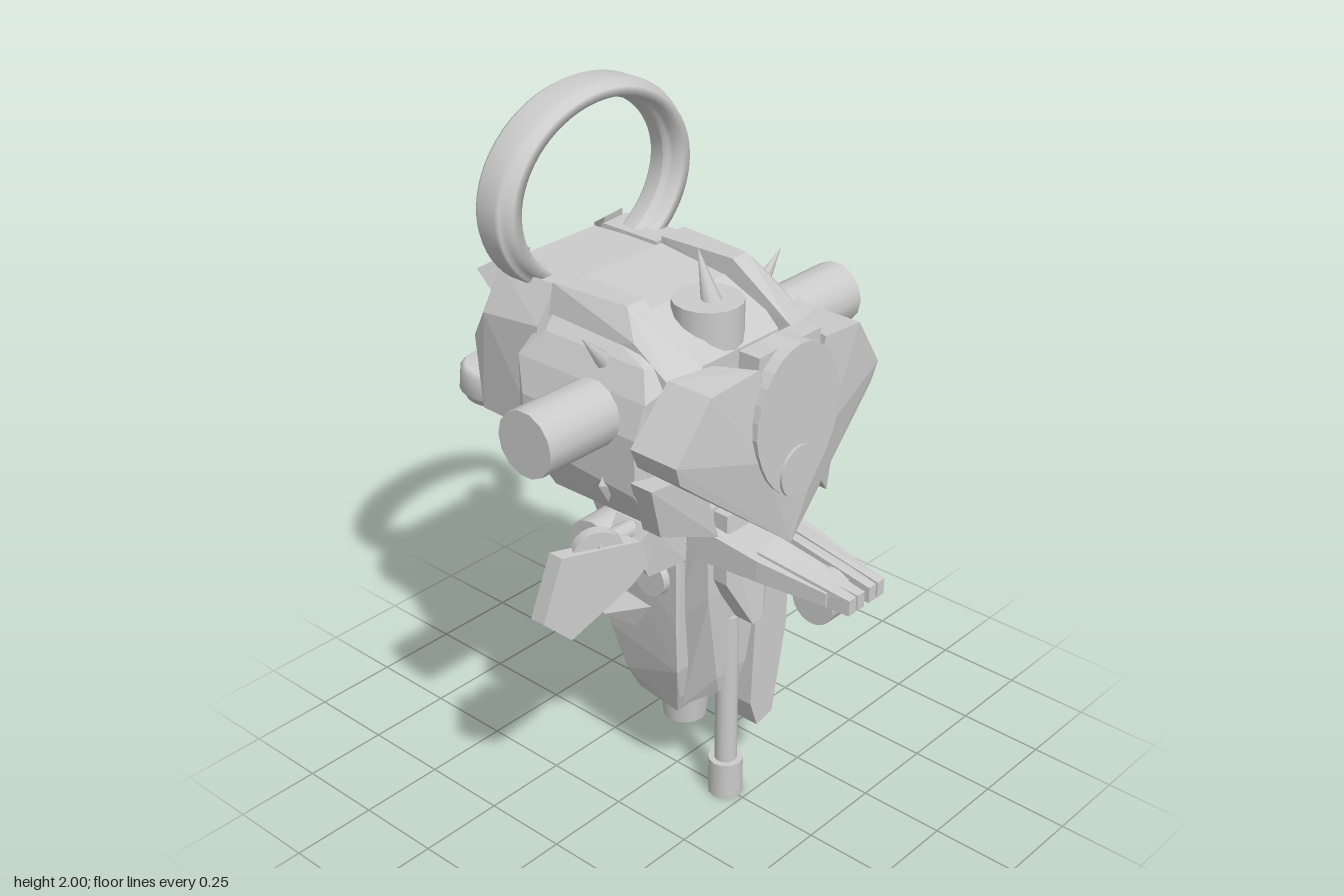
import * as THREE from 'three';
import { ConvexGeometry } from 'three/addons/geometries/ConvexGeometry.js';

const V = (p) => new THREE.Vector3(...p);

export function createModel() {
  const root = new THREE.Group();
  const mat = new THREE.MeshStandardMaterial({ color: 0xcccccc });

  const add = (name, geo) => {
    const m = new THREE.Mesh(geo, mat);
    m.name = name;
    root.add(m);
    return m;
  };
  // Faceted solid around a few corner points
  const hull = (name, pts) => add(name, new ConvexGeometry(pts.map(V)));
  // Faceted solid that is its own mirror image
  const symHull = (name, pts) => hull(name, [...pts, ...pts.map(([x, y, z]) => [-x, y, z])]);
  const box = (name, [x0, x1], [y0, y1], [z0, z1]) => {
    const m = add(name, new THREE.BoxGeometry(x1 - x0, y1 - y0, z1 - z0));
    m.position.set((x0 + x1) / 2, (y0 + y1) / 2, (z0 + z1) / 2);
  };
  // Cylinder or cone between two points
  const rod = (name, a, b, r0, r1 = r0, sides = 16) => {
    const d = V(b).sub(V(a));
    const m = add(name, new THREE.CylinderGeometry(r1, r0, d.length(), sides));
    m.position.copy(V(a)).addScaledVector(d, 0.5);
    m.quaternion.setFromUnitVectors(new THREE.Vector3(0, 1, 0), d.normalize());
  };
  // Turned part from a profile of [radius, height], listed downwards on the outside
  const turned = (name, profile, sides) => add(name, new THREE.LatheGeometry(
    profile.map(([r, y]) => new THREE.Vector2(r, y)).reverse(), sides));
  // Flat outline in x, y with a front and back depth that slants along x
  const plate = (name, outline, zAt, thick) => hull(name, outline.flatMap(([x, y]) =>
    [[x, y, zAt(x)], [x, y, zAt(x) - thick]]));
  // Both sides: s is +1 on the left, -1 on the right
  const pair = (fn) => [1, -1].forEach(fn);
  const mir = (s, pts) => pts.map(([x, ...rest]) => [s * x, ...rest]);

  // Oval halo ring with a stepped lip at the front
  const halo = turned('haloRing', [
    [0.282, 0.06], [0.288, 0.075], [0.3, 0.08], [0.3, 0.115], [0.33, 0.115], [0.333, 0.085],
    [0.351, 0.083], [0.356, 0.073], [0.356, 0.012], [0.348, 0], [0.3, 0], [0.284, 0.015], [0.282, 0.06],
  ], 64);
  halo.geometry.rotateX(Math.PI / 2).scale(1, 0.787, 1);
  halo.position.set(0, 1.72, -0.365);

  // Main torso
  symHull('torso', [
    [0.2, 1.5, 0.02], [0.2, 1.53, -0.2], [0.16, 1.4, 0.2],
    [0.3, 1.44, 0.16], [0.3, 1.44, -0.18], [0.34, 1.37, 0.2], [0.34, 1.37, -0.24],
    [0.37, 1.28, 0.19], [0.37, 1.28, -0.2], [0.37, 1.12, 0.19], [0.37, 1.15, -0.2],
    [0.34, 1.13, -0.24], [0.33, 1.03, 0.2], [0.31, 1.01, -0.15], [0.15, 0.95, 0.18], [0.15, 0.95, -0.1],
  ]);
  pair((s) => {
    hull('shoulderRail', mir(s, [
      [0.17, 1.55, 0.04], [0.23, 1.55, 0.04], [0.16, 1.55, -0.2], [0.25, 1.55, -0.2],
      [0.17, 1.5, 0.1], [0.27, 1.48, 0.1], [0.17, 1.42, 0.24], [0.27, 1.4, 0.22],
      [0.17, 1.25, 0.25], [0.28, 1.25, 0.23], [0.17, 1.3, -0.2], [0.28, 1.4, -0.2],
    ]));
    rod('sideDrum', [s * 0.365, 1.315, 0.05], [s * 0.605, 1.315, 0.05], 0.09, 0.09, 14);
    rod('shoulderSpike', [s * 0.29, 1.41, 0.025], [s * 0.38, 1.51, 0.03], 0.026, 0.001, 8);
    hull('sideSkirt', mir(s, [
      [0.385, 1.17, 0.19], [0.385, 1.17, 0.26], [0.2, 1.15, 0.26], [0.2, 1.15, 0.17],
      [0.33, 1.01, 0.24], [0.33, 1.01, 0.18], [0.13, 0.93, 0.26], [0.13, 0.93, 0.18],
    ]));
    // Slim lens-shaped stud
    hull('sideStud', mir(s, [
      [0.35, 1.17, 0.08], [0.35, 1.06, 0.08], [0.35, 1.11, 0.1], [0.35, 1.11, 0.06], [0.385, 1.12, 0.08],
    ]));
  });

  // Top hatch with spike
  rod('topHatch', [0, 1.4, 0.105], [0, 1.515, 0.105], 0.095, 0.095, 16);
  rod('topSpike', [0, 1.5, 0.12], [0, 1.64, 0.07], 0.03, 0.001, 8);

  // Front shield: two wings meeting in a point, with an egg-shaped visor
  pair((s) => hull('shieldWing', mir(s, [
    [0.13, 1.45, 0.385], [0.29, 1.43, 0.37], [0.4, 1.275, 0.355], [0.38, 1.22, 0.35],
    [0, 0.91, 0.395], [0, 1.08, 0.4], [0.13, 1.2, 0.405],
    [0.17, 1.44, 0.27], [0.29, 1.43, 0.23], [0.405, 1.28, 0.21], [0.38, 1.22, 0.21], [0.02, 0.95, 0.27],
  ])));
  const egg = Array.from({ length: 28 }, (_, i) => {
    const a = i / 28 * Math.PI * 2, y = Math.sin(a);
    return [Math.cos(a) * (0.165 + 0.025 * Math.min(y, 0)), 1.275 + y * 0.21];
  });
  plate('visor', egg, () => 0.41, 0.09);
  rod('visorLens', [0, 1.13, 0.38], [0, 1.13, 0.418], 0.072, 0.072, 24);
  box('visorCrest', [-0.12, 0.12], [1.41, 1.475], [0.31, 0.375]);

  // Backpack
  symHull('backpackCore', [
    [0.15, 1.53, -0.2], [0.13, 1.53, -0.42], [0.13, 1.47, -0.455], [0.13, 1.24, -0.455],
    [0.13, 1.18, -0.4], [0.17, 1.18, -0.2],
  ]);
  box('backPanel', [-0.09, 0.09], [1.25, 1.43], [-0.47, -0.44]);
  pair((s) => {
    hull('backpackPod', mir(s, [
      [0.14, 1.54, -0.2], [0.24, 1.54, -0.2], [0.14, 1.54, -0.4], [0.24, 1.54, -0.4],
      [0.3, 1.44, -0.21], [0.3, 1.42, -0.41], [0.13, 1.33, -0.47], [0.28, 1.33, -0.47],
      [0.13, 1.12, -0.45], [0.28, 1.12, -0.45], [0.3, 1.13, -0.22], [0.16, 1.12, -0.22],
    ]));
    hull('backpackHorn', mir(s, [
      [0.14, 1.56, -0.39], [0.22, 1.56, -0.4], [0.18, 1.51, -0.47], [0.27, 1.52, -0.46],
      [0.15, 1.45, -0.42], [0.25, 1.45, -0.42],
    ]));
    // Rear thruster with a hollow mouth
    const thruster = turned('rearThruster', [
      [0, 0.05], [0.075, 0.05], [0.088, 0.035], [0.088, -0.025], [0.07, -0.03], [0.07, -0.05],
      [0.05, -0.05], [0.045, -0.02], [0, -0.02],
    ], 20);
    thruster.position.set(s * 0.195, 1.158, -0.505);
    thruster.rotation.x = 0.12;
    // Tail blades
    hull('tailBlade', mir(s, [
      [0.02, 0.97, -0.18], [0.07, 0.96, -0.18], [0.03, 0.93, -0.2], [0.06, 1.08, -0.42],
      [0.14, 1.08, -0.42], [0.06, 1.04, -0.42], [0.13, 1.04, -0.42],
      [0.08, 1.17, -0.6], [0.14, 1.17, -0.6], [0.08, 1.13, -0.645], [0.14, 1.13, -0.645],
    ]));
    hull('tailFin', mir(s, [
      [0.05, 0.99, -0.16], [0.12, 0.96, -0.17], [0.13, 1.08, -0.44], [0.22, 1.1, -0.42],
      [0.14, 1.05, -0.42], [0.23, 1.07, -0.4],
    ]));
  });
  symHull('tailRoot', [
    [0.12, 1.02, -0.12], [0.1, 0.92, -0.12], [0.09, 1.04, -0.28], [0.03, 0.78, -0.2],
    [0.07, 0.93, -0.21], [0.04, 0.78, -0.14],
  ]);

  // Waist and hips
  symHull('waist', [
    [0.2, 1.03, 0.14], [0.2, 1.03, -0.14], [0.15, 0.82, 0.16], [0.15, 0.82, -0.14],
    [0.18, 0.94, 0.2], [0.18, 0.94, -0.16],
  ]);
  pair((s) => {
    rod('hipDrum', [s * 0.14, 0.885, 0.01], [s * 0.34, 0.88, 0.01], 0.088);
    hull('hipGuard', mir(s, [
      [0.18, 1.0, 0.2], [0.3, 1.0, 0.18], [0.34, 0.94, 0.16], [0.3, 0.85, 0.17], [0.19, 0.86, 0.2],
      [0.18, 1.0, 0.08], [0.3, 1.0, 0.06], [0.34, 0.94, 0.06], [0.2, 0.87, 0.08],
    ]));
    rod('bladeArm', [s * 0.24, 0.97, 0.11], [s * 0.45, 0.985, 0.12], 0.025, 0.025, 10);
    rod('bladeHinge', [s * 0.43, 0.965, 0.11], [s * 0.447, 0.965, 0.138], 0.07, 0.07, 20);
    // Kite-shaped hanging blade, swept back at its outer end
    plate('hangingBlade', mir(s, [[0.587, 0.8], [0.523, 0.738], [0.38, 0.87], [0.34, 0.925], [0.36, 0.995], [0.54, 0.985]]),
      (x) => 0.21 - (Math.abs(x) - 0.34) * 0.55, 0.045);
  });

  // Forward claw
  symHull('clawBase', [
    [0.13, 0.93, 0.18], [0.13, 0.83, 0.18], [0.12, 0.9, 0.38], [0.12, 0.84, 0.38],
    [0.085, 0.87, 0.58], [0.085, 0.83, 0.58],
  ]);
  pair((s) => [0.01, 0.045].forEach((x) => hull('clawFinger', mir(s, [
    [x, 0.92, 0.36], [x + 0.05, 0.91, 0.36], [x, 0.83, 0.4], [x + 0.05, 0.83, 0.4],
    [x, 0.87, 0.645], [x + 0.028, 0.87, 0.645], [x, 0.825, 0.645], [x + 0.028, 0.825, 0.645],
  ]))));
  rod('clawRoller', [-0.075, 0.82, 0.53], [0.075, 0.82, 0.53], 0.065, 0.065, 24);

  // Lower body
  symHull('lowerBody', [
    [0.13, 0.95, 0.14], [0.12, 0.95, -0.09], [0.15, 0.8, 0.13], [0.13, 0.82, -0.12],
    [0.15, 0.6, 0.13], [0.1, 0.64, -0.2], [0.09, 0.58, -0.2], [0.145, 0.45, 0.13], [0.11, 0.47, -0.15],
    [0.11, 0.34, 0.11], [0.1, 0.34, -0.1], [0.1, 0.28, 0.09], [0.08, 0.28, -0.07],
  ]);
  symHull('chestPlate', [
    [0.12, 0.98, 0.21], [0.12, 0.98, 0.1], [0.11, 0.7, 0.21], [0.12, 0.6, 0.1],
    [0.06, 0.42, 0.2], [0.09, 0.3, 0.1], [0.04, 0.36, 0.19],
  ]);
  plate('frontWedge', [[-0.09, 0.97], [0.09, 0.97], [0.09, 0.76], [0.02, 0.62], [-0.02, 0.62], [-0.09, 0.76]],
    (x) => 0.3 - Math.abs(x) * 0.5, 0.06);
  pair((s) => {
    rod('sideKnuckle', [s * 0.1, 0.735, 0.05], [s * 0.17, 0.735, 0.05], 0.06, 0.055, 20);
    hull('sideSpike', mir(s, [
      [0.3, 0.79, -0.12], [0.25, 0.62, -0.04], [0.15, 0.54, -0.02], [0.14, 0.62, 0.03], [0.13, 0.63, -0.1],
    ]));
  });

  // Long single flap on the left side
  plate('longFlap', [[0.1, 0.9], [0.19, 0.88], [0.225, 0.74], [0.22, 0.48], [0.165, 0.2], [0.1, 0.185], [0.07, 0.27], [0.1, 0.48]],
    () => 0.215, 0.12);

  // Rear nozzle, pointing back and down
  const nozzle = turned('rearNozzle', [
    [0, 0.02], [0.045, 0.02], [0.05, 0.05], [0.066, 0.05], [0.07, 0.03], [0.07, -0.01],
    [0.088, -0.03], [0.092, -0.07], [0.092, -0.15], [0, -0.15],
  ], 20);
  nozzle.position.set(0, 0.56, -0.212);
  nozzle.rotation.x = -Math.PI * 0.73;

  // Foot and support pole
  rod('foot', [0, 0.2, 0.03], [0, 0.3, 0.03], 0.062, 0.072);
  rod('pole', [0, 0.08, 0.185], [0, 0.6, 0.185], 0.032);
  rod('poleKnob', [0, 0, 0.185], [0, 0.115, 0.185], 0.05, 0.05, 12);

  return root;
}
